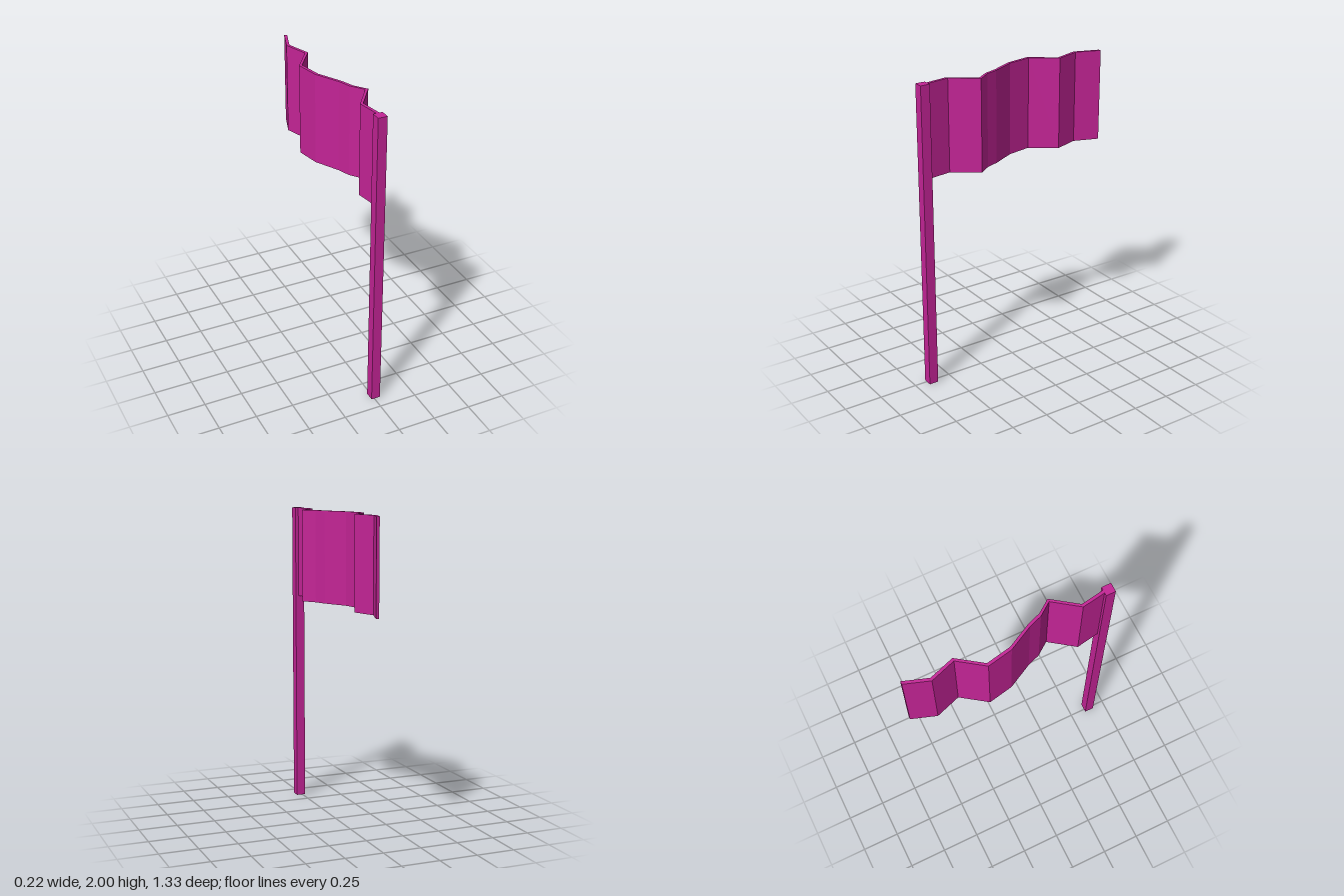
import * as THREE from 'three';

export function createModel() {
  const group = new THREE.Group();
  const magenta = new THREE.MeshStandardMaterial({ color: 0xc42496 });
  magenta.name = 'magenta';

  // Square pole
  const pole = new THREE.Mesh(new THREE.BoxGeometry(0.06, 2, 0.062), magenta);
  pole.name = 'pole';
  pole.position.set(0.01, 1, 0.635);
  group.add(pole);

  // Rippled cloth: a zigzag centre line (x, z) thickened sideways and extruded upward
  const path = [
    [0.01, 0.604], [-0.015, 0.455], [0.1, 0.295], [0.04, 0.213], [0.01, 0.13],
    [-0.072, -0.026], [-0.104, -0.186], [0.009, -0.346], [-0.045, -0.506], [0.01, -0.666],
  ];
  const half = 0.01;
  const right = path.map(([x, z]) => new THREE.Vector2(x + half, -z));
  const left = path.map(([x, z]) => new THREE.Vector2(x - half, -z)).reverse();
  const geometry = new THREE.ExtrudeGeometry(new THREE.Shape([...right, ...left]), {
    depth: 0.595, bevelEnabled: false,
  });
  geometry.rotateX(-Math.PI / 2);
  const cloth = new THREE.Mesh(geometry, magenta);
  cloth.name = 'flagCloth';
  cloth.position.y = 1.405;
  group.add(cloth);

  return group;
}
